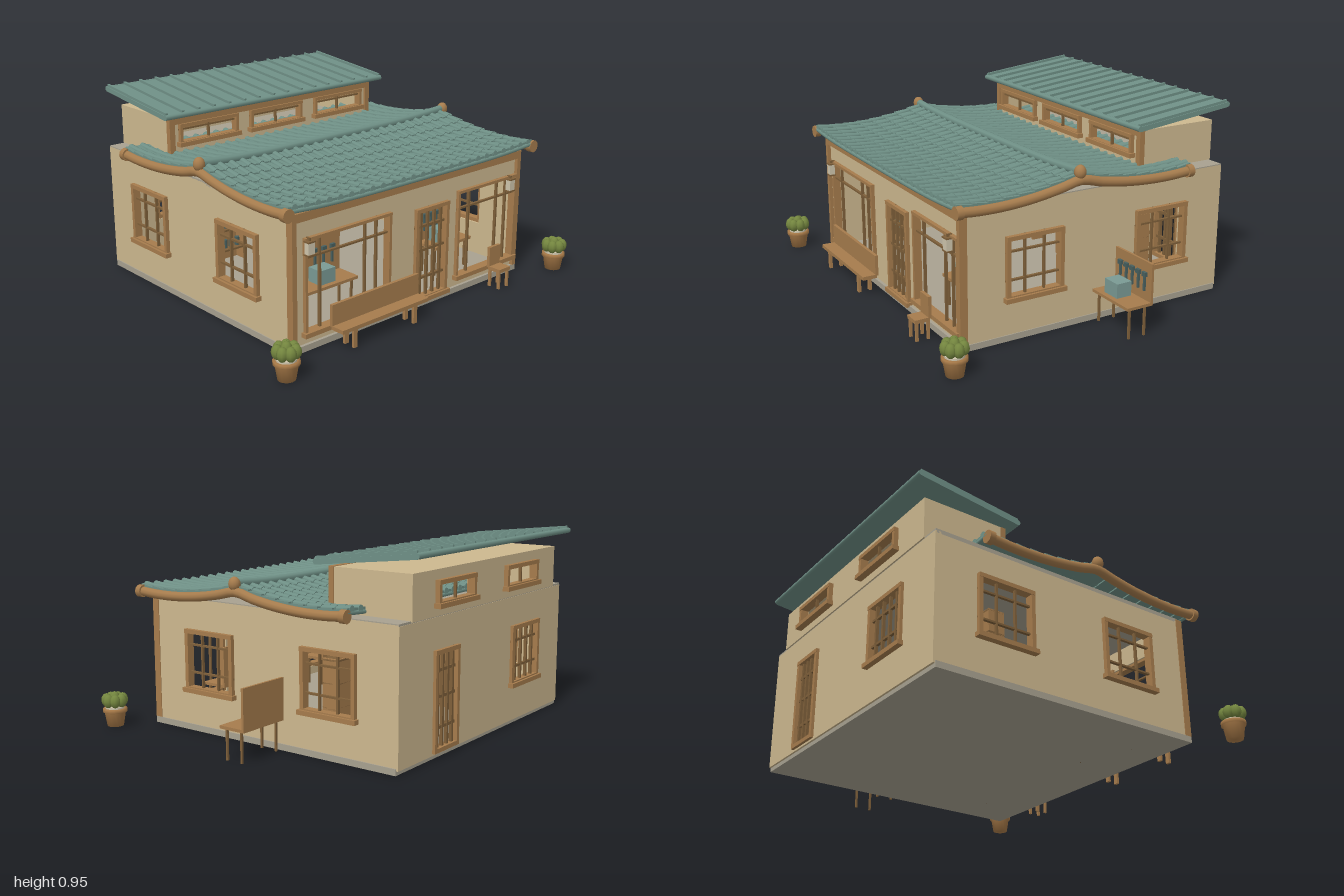
import * as THREE from 'three';
import { mergeGeometries } from 'three/addons/utils/BufferGeometryUtils.js';

const mat = (name, color) => Object.assign(new THREE.MeshStandardMaterial({ color }), { name });
const M = {
  wall: mat('plaster', 0xcdb88f), timber: mat('timber', 0xa67c4d), dark: mat('dark timber', 0x7f603a),
  roof: mat('roof tile', 0x6f9086), stone: mat('stone', 0xa8a190), box: mat('painted box', 0x7a9a94),
  steel: mat('tool steel', 0x48605f), leaf: mat('leaf', 0x74863f), pot: mat('terracotta', 0xa87a48),
  paper: mat('lantern paper', 0xcfc6ad),
};
const CX = -0.035, RIDGE = 0.075;

function add(parent, name, geo, material, x = 0, y = 0, z = 0) {
  const m = new THREE.Mesh(geo, material);
  m.name = name;
  m.position.set(x, y, z);
  parent.add(m);
  return m;
}
// box given by its minimum and maximum on each axis
const block = (p, name, m, x0, x1, y0, y1, z0, z1) =>
  add(p, name, new THREE.BoxGeometry(x1 - x0, y1 - y0, z1 - z0), m, (x0 + x1) / 2, (y0 + y1) / 2, (z0 + z1) / 2);
function group(parent, name, x = 0, y = 0, z = 0, ry = 0) {
  const g = new THREE.Group();
  g.name = name;
  g.position.set(x, y, z);
  g.rotation.y = ry;
  parent.add(g);
  return g;
}
// upright wall with rectangular holes [x0, x1, y0, y1]
function wall(p, name, x0, x1, y0, y1, holes, t = 0.03) {
  const rect = (S, a, b, c, d) => new S([[a, c], [b, c], [b, d], [a, d]].map(q => new THREE.Vector2(...q)));
  const s = rect(THREE.Shape, x0, x1, y0, y1);
  s.holes = holes.map(h => rect(THREE.Path, ...h));
  return add(p, name, new THREE.ExtrudeGeometry(s, { depth: t, bevelEnabled: false }), M.wall);
}
// framed lattice over a hole, lying in the xy plane
function lattice(p, name, [x0, x1, y0, y1], xs, ys, { f = 0.02, bar = 0.009, sill = true } = {}) {
  const g = group(p, name);
  block(g, 'frameSide', M.timber, x0, x0 + f, y0, y1, -0.02, 0.02);
  block(g, 'frameSide', M.timber, x1 - f, x1, y0, y1, -0.02, 0.02);
  block(g, 'frameTop', M.timber, x0, x1, y1 - f, y1, -0.02, 0.022);
  block(g, 'frameBottom', M.timber, x0, x1, y0, y0 + f, -0.02, 0.02);
  if (sill) block(g, 'sill', M.timber, x0 - 0.01, x1 + 0.01, y0 - 0.008, y0 + 0.014, -0.02, 0.032);
  for (const x of xs) block(g, 'bar', M.dark, x - bar / 2, x + bar / 2, y0, y1, -0.006, 0.008);
  for (const y of ys) block(g, 'crossbar', M.dark, x0, x1, y - bar / 2, y + bar / 2, -0.008, 0.006);
  return g;
}
const spread = (a, b, n) => Array.from({ length: n }, (_, i) => a + (b - a) * (i + 1) / (n + 1));

// sagging roof profile, lifted a little towards the gable ends
const profile = z => {
  const t = z > RIDGE ? (z - RIDGE) / 0.615 : (RIDGE - z) / 0.63;
  return 0.715 - 0.16 * t + 0.11 * t * t;
};
const roofY = (x, z) => profile(z) + 0.018 * Math.pow(Math.abs(x - CX) / 0.8, 4);

function mainRoof(root) {
  const g = group(root, 'mainRoof'), pans = [], covers = [], W = 1.6;
  for (const [end, rows] of [[0.69, 8], [-0.555, 8]]) {
    for (let r = 0; r < rows; r++) {
      const za = RIDGE + (end - RIDGE) * r / rows, zb = RIDGE + (end - RIDGE) * (r + 1) / rows;
      const pan = new THREE.BoxGeometry(W, 0.02, Math.abs(zb - za), 16, 1, 1).translate(CX, 0, (za + zb) / 2);
      const a = pan.attributes.position;
      for (let i = 0; i < a.count; i++) {
        const low = Math.abs(a.getZ(i) - zb) < 1e-4 ? 0.007 : 0;
        a.setY(i, a.getY(i) + roofY(a.getX(i), a.getZ(i)) + low);
      }
      pan.computeVertexNormals();
      pans.push(pan);
      for (let c = 0; c < 25; c++) {
        const x = CX - 0.765 + 1.53 * c / 24, ya = roofY(x, za), yb = roofY(x, zb);
        const len = Math.hypot(zb - za, yb - ya);
        covers.push(new THREE.CylinderGeometry(0.0175, 0.0135, len + 0.006, 8)
          .rotateX(Math.atan2(zb - za, yb - ya)).translate(x, (ya + yb) / 2 + 0.011, (za + zb) / 2));
      }
    }
  }
  add(g, 'panTiles', mergeGeometries(pans), M.roof);
  add(g, 'coverTiles', mergeGeometries(covers), M.roof);
  // ridge and eave rolls
  for (const [z, r, dy] of [[RIDGE, 0.02, 0.02], [0.688, 0.011, -0.004], [-0.55, 0.011, -0.004]]) {
    const pts = Array.from({ length: 9 }, (_, i) => CX - 0.8 + 0.2 * i).map(x => new THREE.Vector3(x, roofY(x, z) + dy, z));
    add(g, 'roll', new THREE.TubeGeometry(new THREE.CatmullRomCurve3(pts), 24, r, 8), M.roof);
  }
  // rounded gable beams with ball ends
  for (const s of [-1, 1]) {
    const x = CX + s * 0.803;
    const pts = Array.from({ length: 13 }, (_, i) => 0.69 - 1.245 * i / 12).map(z => new THREE.Vector3(x, profile(z), z));
    add(g, 'gableBeam', new THREE.TubeGeometry(new THREE.CatmullRomCurve3(pts), 36, 0.023, 10), M.timber);
    for (const z of [0.685, -0.545])
      add(g, 'beamEnd', new THREE.CylinderGeometry(0.031, 0.031, 0.03, 12).rotateX(Math.PI / 2), M.timber, x, profile(z), z);
    add(g, 'ridgeBall', new THREE.SphereGeometry(0.028, 14, 10).scale(1, 1.2, 1), M.timber, x, 0.75, RIDGE);
  }
}

function upperStorey(root) {
  const g = group(root, 'upperStorey');
  const front = [[-0.645, -0.29], [-0.21, 0.135], [0.225, 0.57]].map(([a, b]) => [a, b, 0.715, 0.82]);
  const back = [[-0.485, -0.165], [0.13, 0.45]].map(([a, b]) => [a, b, 0.69, 0.805]);
  wall(g, 'upperFrontWall', -0.7, 0.63, 0.645, 0.85, front).position.z = -0.4;
  wall(g, 'upperBackWall', -0.7, 0.63, 0.645, 0.85, back).position.z = -0.795;
  for (const x of [-0.7, 0.6]) block(g, 'upperSideWall', M.wall, x, x + 0.03, 0.645, 0.85, -0.79, -0.37);
  block(g, 'upperCeiling', M.wall, -0.69, 0.62, 0.838, 0.85, -0.79, -0.375);
  block(g, 'upperBeam', M.timber, -0.7, 0.63, 0.82, 0.852, -0.385, -0.357);
  for (const x of [-0.702, 0.602]) block(g, 'upperPost', M.timber, x, x + 0.03, 0.65, 0.85, -0.385, -0.357);
  for (const h of front) lattice(g, 'upperWindow', h, spread(h[0], h[1], 1), [0.79], { f: 0.016 }).position.z = -0.37;
  for (const h of back) {
    const w = lattice(g, 'upperBackWindow', [-h[1], -h[0], h[2], h[3]], [-(h[0] + h[1]) / 2], []);
    w.position.z = -0.797;
    w.rotation.y = Math.PI;
  }
  // sloping seamed roof
  const r = group(root, 'upperRoof', CX, 0.902, -0.583);
  r.rotation.x = Math.atan2(0.058, 0.525);
  block(r, 'slab', M.roof, -0.715, 0.715, -0.014, 0.01, -0.264, 0.264);
  for (let i = 0; i < 16; i++) {
    const x = -0.705 + 1.41 * i / 15;
    block(r, 'seam', M.roof, x - 0.006, x + 0.006, 0.008, 0.023, -0.264, 0.264);
  }
  for (const z of [-0.264, 0.264]) add(r, 'edgeRoll', new THREE.CylinderGeometry(0.014, 0.014, 1.43, 8).rotateZ(Math.PI / 2), M.roof, 0, 0, z);
}

function tools(p, x0, x1, n, y, z) {
  for (const x of spread(x0, x1, n)) {
    block(p, 'toolHandle', M.steel, x - 0.005, x + 0.005, y - 0.075, y, z, z + 0.01);
    block(p, 'toolHead', M.steel, x - 0.013, x + 0.013, y - 0.005, y + 0.016, z, z + 0.014);
  }
}
// table with a tool board behind and a box on top
function workbench(p, name, x0, x1, z, top, boardTop, bx) {
  const g = group(p, name);
  block(g, 'tableTop', M.timber, x0, x1, top - 0.014, top, z, z + 0.14);
  block(g, 'toolBoard', M.timber, x0, x1, top, boardTop, z, z + 0.012);
  for (const x of [x0 + 0.015, x1 - 0.025]) for (const dz of [0.025, 0.11])
    block(g, 'tableLeg', M.dark, x, x + 0.01, 0, top - 0.01, z + dz, z + dz + 0.01);
  tools(g, x0, x1, 5, boardTop - 0.065, z + 0.012);
  block(g, 'box', M.box, bx, bx + 0.095, top, top + 0.07, z + 0.035, z + 0.115);
}
function shelf(p, x0, x1, z) {
  const g = group(p, 'shelf');
  block(g, 'shelfBack', M.timber, x0, x1, 0.03, 0.44, z, z + 0.01);
  for (const x of [x0, x1 - 0.012]) block(g, 'shelfSide', M.timber, x, x + 0.012, 0.03, 0.44, z, z + 0.085);
  for (const y of [0.1, 0.21, 0.32, 0.43]) {
    block(g, 'shelfBoard', M.dark, x0, x1, y, y + 0.01, z, z + 0.085);
    if (y < 0.4) for (const x of spread(x0, x1, Math.round((x1 - x0) / 0.045)))
      add(g, 'jar', new THREE.CylinderGeometry(0.013, 0.013, 0.045, 8), M.steel, x, y + 0.032, z + 0.05);
  }
}
// seat with an upright back towards the building
function seat(p, name, x0, x1, z, lw) {
  const g = group(p, name);
  block(g, 'seatBoard', M.timber, x0, x1, 0.088, 0.106, z, z + 0.075);
  block(g, 'seatBack', M.timber, x0, x1, 0.1, 0.205, z - 0.008, z + 0.008);
  const inset = lw > 0.015 ? 0.07 : 0.004;
  for (const x of [x0 + inset, x1 - inset - lw]) for (const dz of [0, 0.057])
    block(g, 'seatLeg', M.timber, x, x + lw, 0, 0.09, z + dz, z + dz + 0.014);
}
function plant(p, x, z) {
  const g = group(p, 'pottedPlant', x, 0, z);
  const prof = [[0, 0], [0.04, 0], [0.052, 0.07], [0.059, 0.07], [0.059, 0.088], [0.048, 0.088], [0, 0.084]];
  add(g, 'pot', new THREE.LatheGeometry(prof.map(q => new THREE.Vector2(...q)), 16), M.pot);
  add(g, 'potRim', new THREE.CylinderGeometry(0.046, 0.046, 0.014, 14), M.paper, 0, 0.09, 0);
  for (let i = 0; i < 8; i++) {
    const a = i * Math.PI * 2 / 7, r = i < 7 ? 0.04 : 0;
    add(g, 'leaf', new THREE.SphereGeometry(0.026, 8, 6).scale(1, 1.3, 1), M.leaf, r * Math.cos(a), i < 7 ? 0.128 : 0.138, r * Math.sin(a));
  }
}
function lantern(p, x) {
  const g = group(p, 'lantern', x, 0, 0.668);
  block(g, 'lanternShade', M.paper, -0.018, 0.018, 0.455, 0.51, -0.014, 0.014);
  for (const y of [0.45, 0.51]) block(g, 'lanternCap', M.dark, -0.021, 0.021, y, y + 0.007, -0.017, 0.017);
  block(g, 'lanternHook', M.dark, -0.004, 0.004, 0.515, 0.53, -0.02, 0.004);
}

export function createModel() {
  const root = new THREE.Group();
  root.name = 'workshopHouse';
  const X0 = -0.785, X1 = 0.72;
  block(root, 'plinth', M.stone, -0.79, 0.725, 0, 0.03, -0.78, 0.655);
  block(root, 'wallCap', M.stone, X0, X1, 0.63, 0.65, -0.788, 0.63);

  // front wall, timber posts and beam
  const left = [-0.715, -0.195, 0.075, 0.525], right = [0.26, 0.7, 0.075, 0.525], door = [-0.03, 0.195, 0.03, 0.495];
  wall(root, 'frontWall', X0, X1, 0.02, 0.64, [left, right, door]).position.z = 0.61;
  const front = group(root, 'frontJoinery', 0, 0, 0.638);
  lattice(front, 'shopWindowLeft', left, [-0.62, -0.35, -0.28], [0.43], { f: 0.014 });
  lattice(front, 'shopWindowRight', right, [0.35, 0.56, 0.63], [0.43], { f: 0.014 });
  lattice(front, 'frontDoor', door, spread(door[0], door[1], 4), [0.14, 0.28, 0.4], { f: 0.018, bar: 0.012 });
  for (const x of [X0 - 0.003, X1 - 0.022]) block(root, 'cornerPost', M.timber, x, x + 0.025, 0.03, 0.64, 0.62, 0.658);
  block(root, 'frontBeam', M.timber, X0 - 0.003, X1 + 0.003, 0.605, 0.645, 0.62, 0.658);
  lantern(root, -0.7);
  lantern(root, 0.635);

  // back wall with door and window
  const backDoor = [0.245, 0.45, 0.03, 0.495], backWin = [-0.54, -0.255, 0.2, 0.5];
  wall(root, 'backWall', X0, X1, 0.02, 0.64, [backDoor, backWin]).position.z = -0.79;
  const back = group(root, 'backJoinery', 0, 0, -0.785, Math.PI);
  lattice(back, 'backDoor', [-0.45, -0.245, 0.03, 0.495], spread(-0.45, -0.245, 4), [0.14, 0.28, 0.4], { bar: 0.014, sill: false });
  lattice(back, 'backWindow', [0.255, 0.54, 0.2, 0.5], spread(0.255, 0.54, 4), [0.29, 0.42], { bar: 0.012 });

  // side walls, each with two windows; local x runs along the wall
  for (const s of [1, -1]) {
    const g = group(root, s > 0 ? 'leftSide' : 'rightSide', s > 0 ? X1 : X0, 0, 0, s * Math.PI / 2);
    const holes = [[0.13, 0.43], [-0.575, -0.275]].map(([a, b]) => s > 0 ? [-b, -a, 0.2, 0.5] : [a, b, 0.2, 0.5]);
    const ends = s > 0 ? [-0.63, 0.785] : [-0.785, 0.63];
    wall(g, 'sideWall', ends[0], ends[1], 0.02, 0.645, holes).position.z = -0.03;
    for (const h of holes) lattice(g, 'sideWindow', h, spread(h[0], h[1], 2), [0.29, 0.425]);
  }
  mainRoof(root);
  upperStorey(root);

  // interior fittings
  workbench(root, 'benchLeft', -0.585, -0.265, 0.37, 0.19, 0.38, -0.48);
  workbench(root, 'benchRight', 0.27, 0.535, 0.37, 0.19, 0.38, 0.33);
  shelf(root, -0.655, -0.27, -0.42);
  shelf(root, -0.04, 0.21, -0.42);
  shelf(root, 0.27, 0.65, -0.42);

  // outdoor table, seats and plants
  workbench(root, 'sideTable', 0.73, 1.0, -0.175, 0.16, 0.345, 0.79);
  seat(root, 'bench', -0.605, -0.065, 0.7, 0.022);
  seat(root, 'chair', 0.445, 0.525, 0.705, 0.01);
  plant(root, -0.935, 0.79);
  plant(root, 0.888, 0.775);
  return root;
}
